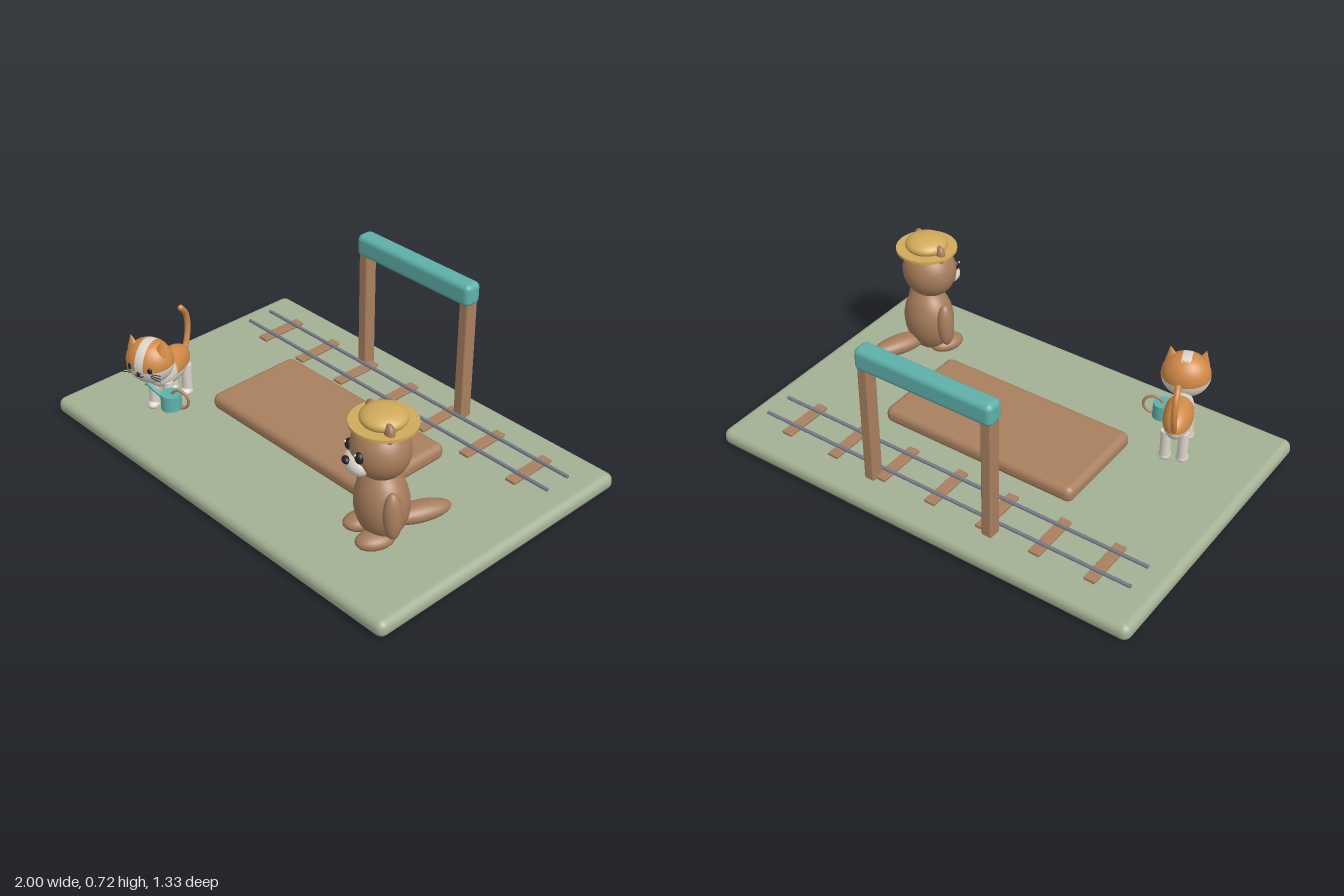
import * as THREE from 'three';
import { RoundedBoxGeometry } from 'three/addons/geometries/RoundedBoxGeometry.js';

const mat = (name, color, extra = {}) => Object.assign(new THREE.MeshStandardMaterial({ color, ...extra }), { name });
const M = {
  grass: mat('sage green', 0xa3b194),
  wood: mat('wood brown', 0xa9805f),
  fur: mat('fur brown', 0xa67c5b),
  teal: mat('teal', 0x5eb0aa),
  steel: mat('rail grey', 0x767a88),
  straw: mat('straw yellow', 0xd0aa5a),
  white: mat('warm white', 0xdcd5ca),
  orange: mat('ginger orange', 0xcf8946),
  black: mat('soft black', 0x26242a),
};

function add(parent, name, geometry, material, x = 0, y = 0, z = 0) {
  const mesh = new THREE.Mesh(geometry, material);
  mesh.name = name;
  mesh.position.set(x, y, z);
  parent.add(mesh);
  return mesh;
}
const box = (w, h, d, r) => new RoundedBoxGeometry(w, h, d, 4, r);
const ball = (rx, ry, rz) => new THREE.SphereGeometry(1, 32, 20).scale(rx, ry, rz);
const tube = (points, r, n = 24) => new THREE.TubeGeometry(
  new THREE.CatmullRomCurve3(points.map(p => new THREE.Vector3(...p))), n, r, 10);

// Ellipsoid whose faces take one of two materials, chosen on the unit sphere
function paintedBall(axis, rx, ry, rz, pick) {
  const sphere = new THREE.SphereGeometry(1, 48, 32);
  if (axis === 'x') sphere.rotateZ(Math.PI / 2);
  else sphere.rotateX(Math.PI / 2);
  const p = sphere.attributes.position, sets = [[], []];
  const index = sphere.index.array;
  for (let i = 0; i < index.length; i += 3) {
    const t = [index[i], index[i + 1], index[i + 2]];
    const c = new THREE.Vector3();
    t.forEach(v => c.add(new THREE.Vector3().fromBufferAttribute(p, v)));
    sets[pick(c.divideScalar(3)) ? 1 : 0].push(...t);
  }
  sphere.setIndex([...sets[0], ...sets[1]]);
  sphere.clearGroups();
  sphere.addGroup(0, sets[0].length, 0);
  sphere.addGroup(sets[0].length, sets[1].length, 1);
  return sphere.scale(rx, ry, rz);
}

function createStation() {
  const g = new THREE.Group();
  g.name = 'station';
  add(g, 'ground', box(2, 0.075, 1.33, 0.034), M.grass, 0, 0.0375, 0);
  add(g, 'platform', box(0.935, 0.075, 0.46, 0.032), M.wood, 0, 0.119, 0);
  for (const s of [-1, 1]) {
    add(g, 'post', box(0.048, 0.57, 0.06, 0.008), M.wood, s * 0.291, 0.355, -0.521);
  }
  add(g, 'beam', box(0.645, 0.1, 0.083, 0.025), M.teal, 0, 0.67, -0.521);
  // Track
  for (let i = -3; i <= 3; i++) {
    add(g, 'sleeper', box(0.05, 0.014, 0.23, 0.003), M.wood, i * 0.25, 0.082, -0.418);
  }
  for (const z of [-0.481, -0.355]) {
    add(g, 'rail', new THREE.CylinderGeometry(0.008, 0.008, 1.8, 12).rotateZ(Math.PI / 2), M.steel, 0, 0.096, z);
  }
  return g;
}

function createBeaver() {
  const g = new THREE.Group();
  g.name = 'beaver';
  add(g, 'body', ball(0.125, 0.155, 0.105), M.fur, 0, 0.25, 0);
  add(g, 'head', ball(0.126, 0.12, 0.115), M.fur, 0, 0.495, 0.01);
  add(g, 'tail', ball(0.052, 0.04, 0.135), M.fur, 0, 0.155, -0.155);
  add(g, 'muzzle', ball(0.07, 0.046, 0.05), M.white, 0, 0.453, 0.1);
  add(g, 'nose', ball(0.02, 0.015, 0.015), M.black, 0, 0.474, 0.146);
  for (const s of [-1, 1]) {
    add(g, 'ear', ball(0.03, 0.042, 0.02), M.fur, s * 0.086, 0.61, 0.015);
    add(g, 'eye', ball(0.021, 0.024, 0.018), M.black, s * 0.048, 0.505, 0.112);
    add(g, 'eyeGlint', ball(0.006, 0.006, 0.005), M.white, s * 0.048 - 0.006, 0.515, 0.127);
    add(g, 'arm', ball(0.034, 0.1, 0.038), M.fur, s * 0.126, 0.268, 0.01).rotation.z = s * 0.08;
    add(g, 'foot', ball(0.054, 0.036, 0.08), M.fur, s * 0.062, 0.126, 0.05);
  }
  // Straw hat
  add(g, 'hatBrim', new THREE.CylinderGeometry(0.132, 0.132, 0.012, 48), M.straw, 0, 0.607, 0);
  add(g, 'hatCrown', ball(0.092, 0.04, 0.092), M.straw, 0, 0.628, 0);
  g.position.set(0.642, 0, 0.313);
  g.rotation.y = -0.38;
  return g;
}

function createCat() {
  const g = new THREE.Group();
  g.name = 'cat';
  // Ginger back over a white chest and belly
  add(g, 'body', paintedBall('z', 0.062, 0.075, 0.135, c => c.z < 0.25 && c.y > -0.1 * Math.hypot(c.x, c.y)),
    [M.white, M.orange], 0, 0.265, 0);
  // Ginger head with a white blaze and white lower face
  add(g, 'head', paintedBall('x', 0.104, 0.098, 0.09,
    c => c.y > -0.15 * Math.hypot(c.y, c.z) && (Math.abs(c.x) > 0.19 || c.z < -0.45)),
  [M.white, M.orange], 0, 0.37, 0.142);
  add(g, 'nose', ball(0.01, 0.007, 0.007), M.black, 0, 0.352, 0.232);
  for (const s of [-1, 1]) {
    const ear = add(g, 'ear', new THREE.ConeGeometry(0.032, 0.065, 20).scale(1, 1, 0.6), M.orange, s * 0.068, 0.453, 0.16);
    ear.rotation.z = -s * 0.2;
    add(g, 'eye', ball(0.012, 0.015, 0.008), M.black, s * 0.046, 0.37, 0.219);
    add(g, 'mouth', tube([[0, 0.343, 0.231], [s * 0.008, 0.336, 0.23], [s * 0.02, 0.341, 0.227]], 0.0025, 10), M.black);
    for (let i = -1; i <= 1; i++) {
      add(g, 'whisker', tube([[s * 0.045, 0.345 + i * 0.007, 0.216], [s * 0.1, 0.347 + i * 0.015, 0.222]], 0.0018, 4), M.black);
    }
    for (const z of [-0.075, 0.075]) {
      add(g, 'leg', new THREE.CylinderGeometry(0.022, 0.022, 0.13, 20), M.white, s * 0.036, 0.17, z);
      add(g, 'paw', ball(0.026, 0.02, 0.032), M.white, s * 0.036, 0.106, z + 0.008);
    }
  }
  add(g, 'tail', tube([[0, 0.26, -0.1], [0, 0.29, -0.135], [0, 0.37, -0.16], [0, 0.44, -0.15], [0, 0.485, -0.115]], 0.013), M.orange);
  add(g, 'tailTip', ball(0.013, 0.013, 0.013), M.orange, 0, 0.485, -0.115);

  // Watering can
  const can = new THREE.Group();
  can.name = 'wateringCan';
  add(can, 'canBody', new THREE.CylinderGeometry(0.043, 0.045, 0.068, 32), M.teal);
  add(can, 'spout', tube([[-0.03, 0, 0], [-0.075, 0.025, 0], [-0.11, 0.052, 0]], 0.009, 12), M.teal);
  add(can, 'spoutRose', new THREE.CylinderGeometry(0.014, 0.009, 0.012, 16).rotateZ(1), M.teal, -0.112, 0.053, 0);
  add(can, 'handle', new THREE.TorusGeometry(0.042, 0.006, 10, 32), M.wood, 0.043, 0.016, 0);
  can.position.set(0.08, 0.183, 0.125);
  g.add(can);

  g.position.set(-0.63, -0.001, 0.32);
  g.rotation.y = 0.36;
  return g;
}

export function createModel() {
  const model = new THREE.Group();
  model.name = 'railwayHalt';
  model.add(createStation(), createBeaver(), createCat());
  return model;
}
